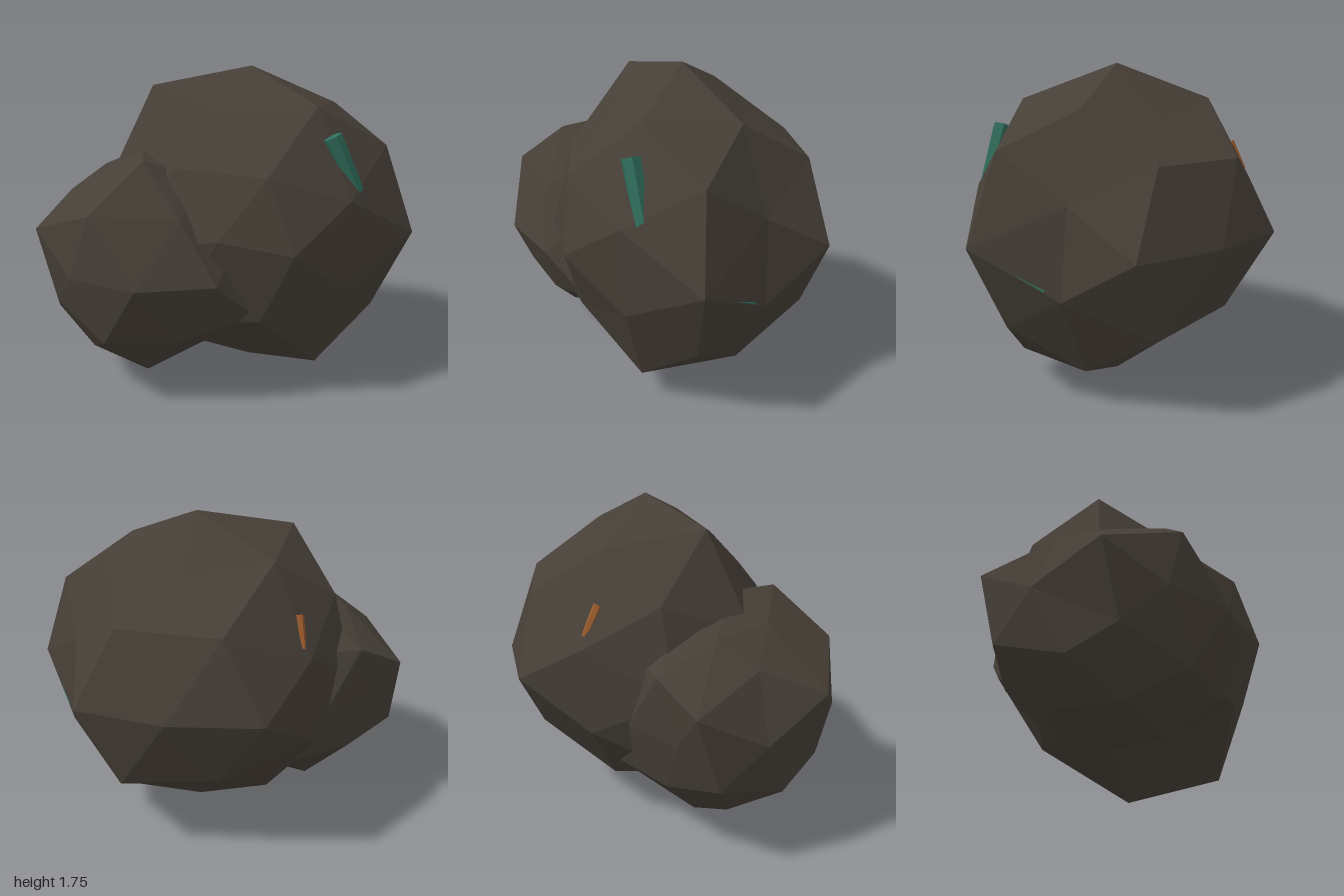
import * as THREE from 'three';

const V = (a) => new THREE.Vector3(...a);

// Faceted boulder: a subdivided icosahedron whose corners are pulled to nearby control points
function boulder(name, center, radius, turn, pulls) {
  const geo = new THREE.IcosahedronGeometry(1, 1).rotateY(turn);
  const pos = geo.attributes.position;
  const c = V(center);
  const v = new THREE.Vector3();
  const corners = new Map();
  for (let i = 0; i < pos.count; i++) {
    v.fromBufferAttribute(pos, i);
    const key = v.toArray().map((n) => Math.round(n * 100)).join();
    if (!corners.has(key)) corners.set(key, { home: v.clone().multiplyScalar(radius).add(c), ids: [], out: null });
    corners.get(key).ids.push(i);
  }
  // each control point takes the nearest corner that is still free
  for (const p of pulls) {
    const point = V(p);
    let best = null;
    for (const k of corners.values()) {
      if (!k.out && (!best || k.home.distanceTo(point) < best.home.distanceTo(point))) best = k;
    }
    best.out = point;
  }
  for (const { home, ids, out } of corners.values()) {
    const p = out ?? home;
    for (const i of ids) pos.setXYZ(i, p.x, p.y, p.z);
  }
  geo.computeVertexNormals();
  const mesh = new THREE.Mesh(geo, new THREE.MeshStandardMaterial({ color: 0x463f37, flatShading: true }));
  mesh.name = name;
  return mesh;
}

// Crystal sliver lying half sunk in the surface
function shard(name, from, to, r, color) {
  const a = V(from), b = V(to), axis = b.clone().sub(a);
  const geo = new THREE.CylinderGeometry(r * 0.85, r, axis.length(), 6);
  const mesh = new THREE.Mesh(geo, new THREE.MeshStandardMaterial({ color, flatShading: true }));
  mesh.position.copy(a).add(b).multiplyScalar(0.5);
  mesh.quaternion.setFromUnitVectors(new THREE.Vector3(0, 1, 0), axis.normalize());
  mesh.name = name;
  return mesh;
}

export function createModel() {
  const group = new THREE.Group();
  group.name = 'rock';

  group.add(boulder('largeBoulder', [0.14, 0.9, 0.06], 0.85, 0.553, [
    // top and bottom
    [0.14, 1.76, 0.06], [0.14, 0.01, 0.06],
    // front
    [0.13, 1.58, 0.56], [0.12, 1.13, 0.81], [0.13, 0.65, 0.79], [0.13, 0.17, 0.6],
    [0.57, 0.9, 0.88], [-0.22, 0.9, 0.75], [0.51, 1.36, 0.72], [0.48, 0.45, 0.7],
    // left side
    [0.99, 0.9, 0.14], [0.83, 0.9, -0.32], [0.82, 1.31, 0], [0.84, 0.46, 0],
    [0.72, 1.12, 0.41], [0.75, 0.66, 0.45], [0.55, 1.55, 0.32], [0.57, 0.21, 0.31],
    [0.45, 1.5, -0.1], [0.45, 0.3, -0.1],
    // back
    [0.55, 0.9, -0.7], [0.58, 1.3, -0.47], [0.58, 0.52, -0.43], [0.15, 1.57, -0.45],
    [0.17, 1.12, -0.7], [0.14, 0.66, -0.7], [-0.2, 1.35, -0.6], [0.14, 0.27, -0.43],
    // right side
    [-0.19, 1.54, 0.21], [-0.31, 1.66, -0.25], [-0.26, 1.27, 0.6], [-0.25, 0.5, 0.55],
    [-0.48, 1.28, 0.15], [-0.45, 0.95, 0.45], [-0.16, 0.32, 0.24],
  ]));

  group.add(boulder('smallBoulder', [-0.42, 0.735, -0.2], 0.6, 0.91, [
    // middle row
    [-0.5, 0.74, 0.5], [-0.84, 0.74, 0.28], [-0.98, 0.74, -0.08],
    [-0.48, 0.94, -0.88], [-0.77, 0.75, -0.67],
    [-0.99, 0.94, -0.4], [-0.94, 0.55, -0.3],
    // front
    [-0.57, 1.05, 0.3], [-0.57, 0.4, 0.3], [-0.25, 0.52, 0.52],
    // upper and lower rows
    [-0.92, 1.08, 0.02], [-0.88, 0.4, 0.05], [-0.6, 1.32, 0.05], [-0.6, 0.15, 0.03],
    [-0.65, 1.22, -0.28], [-0.68, 1.08, -0.55], [-0.32, 0.12, -0.4],
    // back
    [-0.46, 1.2, -0.53], [-0.24, 1.06, -0.76], [-0.58, 0.53, -0.8], [0.06, 0.43, -0.54],
  ]));

  group.add(shard('frontCrystal', [0.12, 1.44, 0.67], [0.23, 1.12, 0.77], 0.05, 0x2f6b5a));
  group.add(shard('sideCrystal', [0.61, 0.83, 0.74], [0.71, 0.71, 0.52], 0.015, 0x2f6b5a));
  group.add(shard('backCrystal', [0.13, 1.32, -0.59], [0.18, 1.17, -0.65], 0.025, 0x9a5a2c));
  return group;
}
